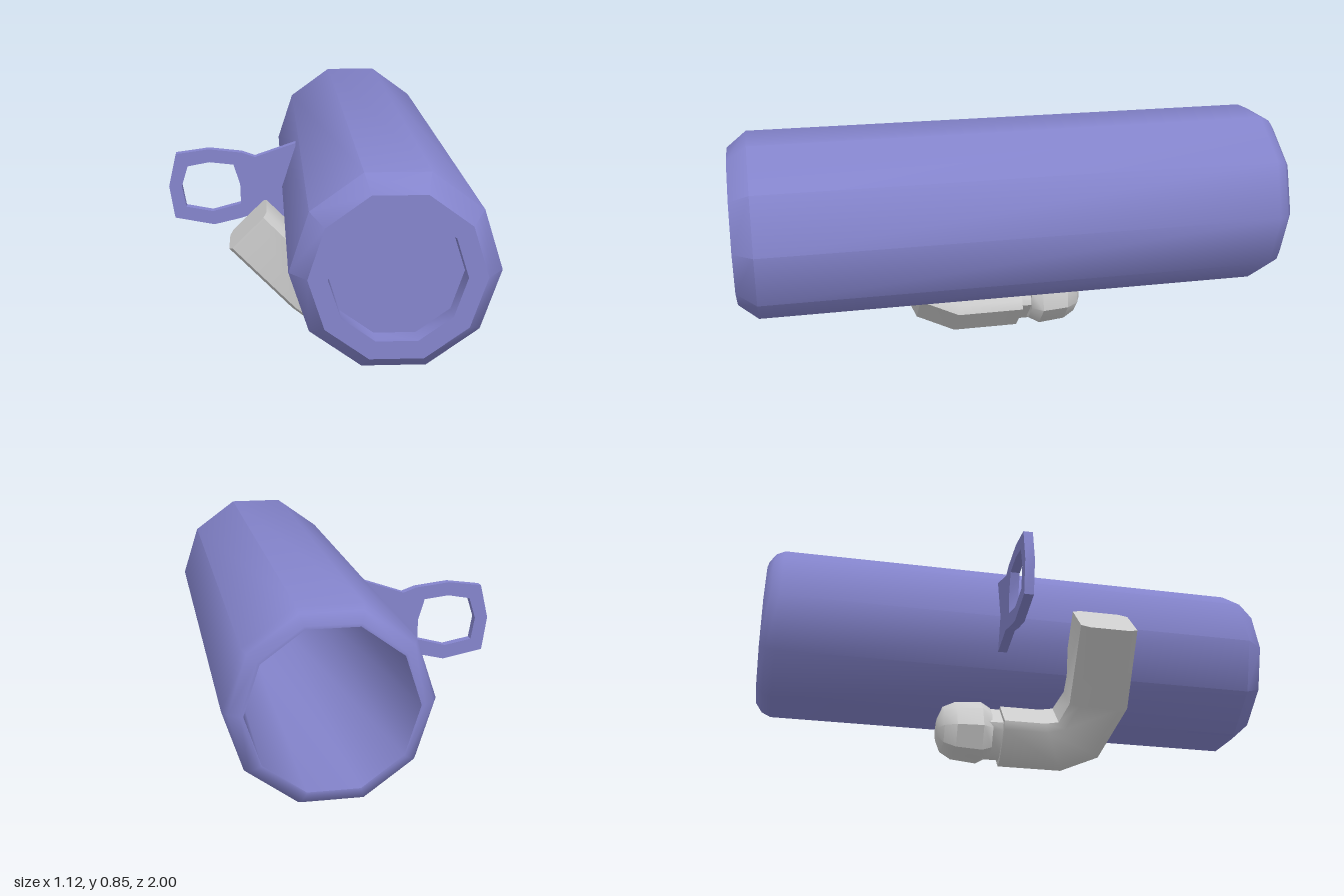
import * as THREE from 'three';
import { toCreasedNormals } from 'three/addons/utils/BufferGeometryUtils.js';

const CREASE = 0.75;
const blue = new THREE.MeshStandardMaterial({ color: 0x8484cc });
const grey = new THREE.MeshStandardMaterial({ color: 0xcccccc });

function part(name, geometry, material) {
  const mesh = new THREE.Mesh(toCreasedNormals(geometry, CREASE), material);
  mesh.name = name;
  return mesh;
}

// Closed skin over rings of [x, y, z], each ring counterclockwise about the direction of travel
function loft(rings) {
  const n = rings[0].length;
  const pos = rings.flat(2);
  const index = [];
  for (let i = 0; i < rings.length - 1; i++) {
    for (let j = 0; j < n; j++) {
      const a = i * n + j, b = i * n + (j + 1) % n;
      index.push(a, b, b + n, a, b + n, a + n);
    }
  }
  const cap = (ring, base, flip) => {
    const c = pos.length / 3;
    for (let k = 0; k < 3; k++) pos.push(ring.reduce((s, p) => s + p[k], 0) / n);
    for (let j = 0; j < n; j++) {
      const a = base + j, b = base + (j + 1) % n;
      index.push(c, flip ? b : a, flip ? a : b);
    }
  };
  cap(rings[0], 0, true);
  cap(rings[rings.length - 1], (rings.length - 1) * n, false);
  const g = new THREE.BufferGeometry();
  g.setAttribute('position', new THREE.Float32BufferAttribute(pos, 3));
  g.setIndex(index);
  return g;
}

// Chamfered section [side, share of the way from inner to outer edge]
const SECTION = [[0.097, 0.15], [0.097, 0.85], [0.08, 1], [-0.08, 1],
  [-0.097, 0.85], [-0.097, 0.15], [-0.08, 0], [0.08, 0]];

// Stations hold [outer z, outer x, inner z, inner x] in the tilted frame
function bentBar(stations, width = 1) {
  return loft(stations.map(([oz, ox, iz, ix]) => SECTION.map(([v, t]) =>
    [ix + (ox - ix) * t, 0.172 + v * width, iz + (oz - iz) * t])));
}

export function createModel() {
  const model = new THREE.Group();

  // Ten-sided barrel: deep bore at the back, shallow recess at the front
  const profile = [[0, 0.88], [0.265, 0.88], [0.275, -1], [0.285, -1], [0.32, -0.975], [0.336, -0.94],
    [0.336, 0.93], [0.28, 1], [0.217, 1], [0.217, 0.93], [0, 0.93]].map(p => new THREE.Vector2(...p));
  const barrel = part('barrel',
    new THREE.LatheGeometry(profile, 10, Math.PI / 2).rotateX(Math.PI / 2), blue);
  barrel.position.set(0.222, 0.534, 0);
  model.add(barrel);

  // Flat side bracket with a ring-shaped opening
  const points = list => list.map(p => new THREE.Vector2(...p));
  const plate = new THREE.Shape(points([[-0.56, 0.54], [-0.54, 0.41], [-0.385, 0.38], [-0.28, 0.405],
    [-0.22, 0.425], [-0.06, 0.40], [-0.06, 0.71], [-0.22, 0.655], [-0.27, 0.673], [-0.4, 0.688], [-0.53, 0.67]]));
  plate.holes.push(new THREE.Path(points([[-0.51, 0.54], [-0.485, 0.62], [-0.4, 0.636], [-0.305, 0.625],
    [-0.28, 0.545], [-0.278, 0.465], [-0.39, 0.435], [-0.495, 0.455]])));
  const bracket = part('ringBracket',
    new THREE.ExtrudeGeometry(plate, { depth: 0.035, bevelEnabled: false }), blue);
  bracket.position.z = -0.1;
  model.add(bracket);

  // Elbow assembly, tilted 45 degrees below the barrel
  const elbow = new THREE.Group();
  elbow.name = 'elbowAssembly';
  elbow.rotation.z = -Math.PI / 4;
  elbow.add(part('elbowArm', bentBar([
    [0.39, -0.52, 0.17, -0.52], [0.41, -0.2, 0.18, -0.2], [0.33, 0.016, 0.15, -0.12],
    [0.19, 0.085, 0.1, -0.11], [-0.06, 0.085, -0.06, -0.11]]), grey));
  elbow.add(part('collar', bentBar([
    [-0.05, 0.065, -0.05, -0.095], [-0.12, 0.065, -0.12, -0.095]], 0.85), grey));

  // Rounded knob at the back end of the elbow
  const outline = [[0.304, -0.06], [0.304, 0.035], [0.255, 0.1], [0.148, 0.106], [0.067, 0.046],
    [0.035, -0.007], [0.067, -0.095], [0.15, -0.13], [0.26, -0.12]];
  const knobRings = [[-0.1, 0.8], [-0.14, 1], [-0.24, 0.92], [-0.285, 0.7], [-0.305, 0.35]];
  elbow.add(part('knob', loft(knobRings.map(([z, s]) => outline.map(([v, u]) =>
    [-0.01 + (u + 0.01) * s, 0.172 + (v - 0.172) * s, z]))), grey));
  model.add(elbow);

  return model;
}
